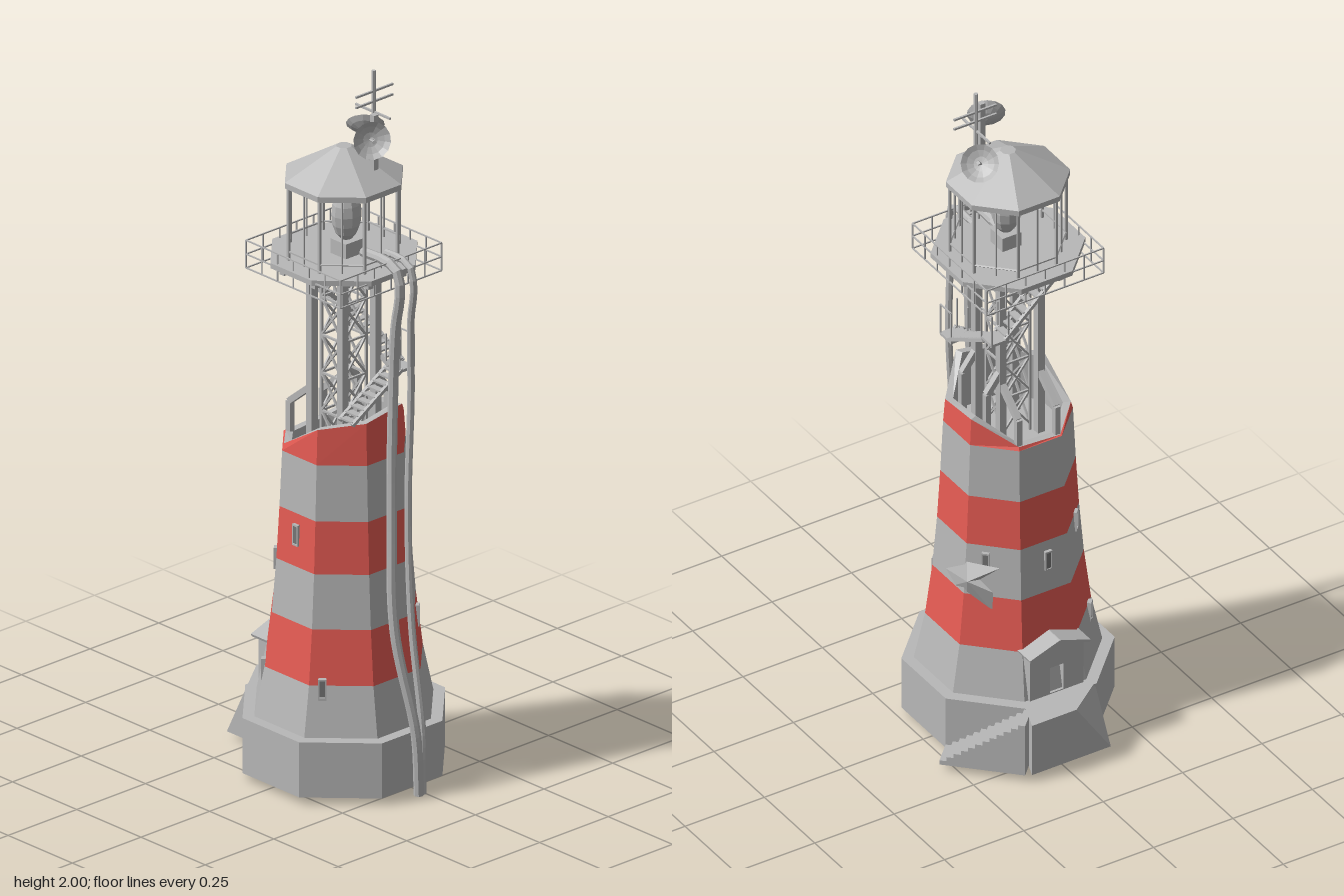
import * as THREE from 'three';
import { ConvexGeometry } from 'three/addons/geometries/ConvexGeometry.js';

const mat = (name, color) => new THREE.MeshStandardMaterial({ name, color, flatShading: true, side: THREE.DoubleSide });
const V = (x, y, z) => new THREE.Vector3(x, y, z);
const CX = -0.03, CZ = 0.02, OCT = Math.cos(Math.PI / 8);

export function createModel() {
  const gray = mat('weathered gray', 0xb8b8b8);
  const red = mat('faded red', 0xe85c54);
  const shade = mat('dark pane', 0x777777);
  const model = new THREE.Group();
  model.name = 'lighthouse';

  const add = (name, geo, m = gray, parent = model) => {
    const mesh = new THREE.Mesh(geo, m);
    mesh.name = name;
    parent.add(mesh);
    return mesh;
  };
  const box = (name, x, y, z, w, h, d, m = gray, parent = model) => {
    const b = add(name, new THREE.BoxGeometry(w, h, d), m, parent);
    b.position.set(x, y, z);
    return b;
  };
  // Square or round bar between two points
  const bar = (name, a, b, r, sides = 4) => {
    const d = b.clone().sub(a);
    const geo = new THREE.CylinderGeometry(r, r, d.length(), sides, 1);
    if (sides === 4) geo.rotateY(Math.PI / 4);
    const mesh = add(name, geo);
    mesh.position.copy(a).add(b).multiplyScalar(0.5);
    mesh.quaternion.setFromUnitVectors(V(0, 1, 0), d.normalize());
    return mesh;
  };
  // Octagonal frustum, sized by the distance to its flats
  const octagon = (name, y0, y1, h0, h1, m = gray, open = false) => {
    const geo = new THREE.CylinderGeometry(h1 / OCT, h0 / OCT, y1 - y0, 8, 1, open, Math.PI / 8);
    const mesh = add(name, geo, m);
    mesh.position.set(CX, (y0 + y1) / 2, CZ);
    return mesh;
  };
  const corner = (k, half, y) => {
    const t = Math.PI / 8 + k * Math.PI / 4;
    return V(CX + Math.sin(t) * half / OCT, y, CZ + Math.cos(t) * half / OCT);
  };

  // Foundation and the broken landing behind it
  octagon('foundation', 0.02, 0.18, 0.266, 0.266);
  add('backLanding', new ConvexGeometry([
    V(-0.03, 0.18, -0.32), V(0.11, 0.18, -0.32), V(0.08, 0.18, -0.24), V(-0.138, 0.18, -0.24),
    V(-0.138, 0.02, -0.32), V(0.11, 0.02, -0.32), V(0.08, 0.02, -0.24), V(-0.138, 0.02, -0.24)]));

  // Steps down from the landing
  for (let i = 0; i < 12; i++) {
    const t = (i + 0.5) / 12, h = 0.16 * (1 - i / 12);
    const step = box('entranceStep', 0.1 + 0.165 * t, 0.02 + h / 2, -0.285 + 0.165 * t, 0.0195, h, 0.075);
    step.rotation.y = -Math.PI / 4;
  }

  // Striped tower walls
  const levels = [[0.18, 0.235], [0.32, 0.207], [0.475, 0.189], [0.63, 0.177], [0.78, 0.169], [0.94, 0.162]];
  for (let i = 0; i < 5; i++) {
    const [y0, h0] = levels[i], [y1, h1] = levels[i + 1];
    octagon('towerBand', y0, y1, h0, h1, i % 2 ? red : gray, true);
  }
  // Ragged top band with an inner wall and rim
  const tops = [1.08, 1.01, 1.02, 0.95, 0.942, 0.96, 1.04, 1.06];
  const loft = (name, rings, m) => {
    const pos = [];
    for (let r = 0; r < rings.length - 1; r++) for (let k = 0; k < 8; k++) {
      const n = (k + 1) % 8, [a, b, c, d] = [rings[r][k], rings[r][n], rings[r + 1][n], rings[r + 1][k]];
      for (const p of [a, b, c, a, c, d]) pos.push(p.x, p.y, p.z);
    }
    const geo = new THREE.BufferGeometry();
    geo.setAttribute('position', new THREE.Float32BufferAttribute(pos, 3));
    geo.computeVertexNormals();
    add(name, geo, m);
  };
  const ring = (half, y) => tops.map((t, k) => corner(k, half, y ?? t));
  loft('raggedTopBand', [ring(0.162, 0.94), ring(0.157)], red);
  loft('innerWall', [ring(0.157), ring(0.137), ring(0.14, 0.9)], gray);
  octagon('innerFloor', 0.89, 0.9, 0.15, 0.15);

  // Windows: angle of the wall, shift along it, height
  const halfAt = y => {
    let i = 0;
    while (i < 4 && y > levels[i + 1][0]) i++;
    const [[y0, h0], [y1, h1]] = [levels[i], levels[i + 1]];
    return h0 + (h1 - h0) * (y - y0) / (y1 - y0);
  };
  const Q = Math.PI / 4;
  for (const [a, u, y] of [[Q, 0.02, 0.43], [-Q, -0.05, 0.31], [-3 * Q, 0.05, 0.3], [-3 * Q, 0.02, 0.61],
    [-2 * Q, 0, 0.72], [4 * Q, 0.01, 0.57], [3 * Q, -0.02, 0.58]]) {
    const g = new THREE.Group();
    g.name = 'window';
    g.position.set(CX, y, CZ);
    g.rotation.y = a;
    const h = halfAt(y);
    for (const s of [-1, 1]) {
      box('windowJamb', u + s * 0.009, 0, h, 0.004, 0.06, 0.014, gray, g);
      box('windowSill', u, s * 0.028, h, 0.02, 0.005, 0.014, gray, g);
    }
    box('windowPane', u, 0, h, 0.016, 0.052, 0.008, shade, g);
    model.add(g);
  }

  // Gabled porch over the back door
  const gable = new THREE.Shape([[-0.085, 0], [0.085, 0], [0.085, 0.14], [0, 0.17], [-0.085, 0.14]].map(p => new THREE.Vector2(...p)));
  gable.holes.push(new THREE.Path([[-0.022, 0.003], [-0.022, 0.085], [0.022, 0.085], [0.022, 0.003]].map(p => new THREE.Vector2(...p))));
  add('porchWall', new THREE.ExtrudeGeometry(gable, { depth: 0.07, bevelEnabled: false })).position.set(CX, 0.18, -0.222);
  for (const s of [-1, 1]) {
    const roof = box('porchRoof', CX + s * 0.047, 0.338, -0.2, 0.1, 0.008, 0.08);
    roof.rotation.z = -s * 0.34;
  }

  // Torn wall panel
  const hub = V(0.165, 0.53, -0.085);
  const rag = [V(0.157, 0.5, 0.035), V(0.15, 0.575, -0.06), V(0.1, 0.585, -0.145), V(0.135, 0.535, -0.1),
    V(0.115, 0.505, -0.135), V(0.105, 0.43, -0.115), V(0.145, 0.45, -0.05), V(0.16, 0.48, -0.02)];
  const torn = new THREE.BufferGeometry().setFromPoints(rag.flatMap((p, i) => [hub, rag[(i + 1) % rag.length], p]));
  torn.computeVertexNormals();
  add('tornPanel', torn);

  // Steel core: outer columns and inner lattice
  const square = [[1, 1], [1, -1], [-1, -1], [-1, 1]];
  square.forEach(([sx, sz], i) => {
    const [nx, nz] = square[(i + 1) % 4];
    box('column', CX + sx * 0.06, 1.19, CZ + sz * 0.06, 0.022, 0.58, 0.022);
    const at = (x, y, z) => V(CX + x * 0.042, y, CZ + z * 0.042);
    bar('latticeLeg', at(sx, 0.9, sz), at(sx, 1.48, sz), 0.005);
    for (let j = 0; j < 5; j++) {
      const y0 = 0.92 + j * 0.11, y1 = y0 + 0.11;
      bar('latticeBrace', at(sx, y0, sz), at(nx, y1, nz), 0.004);
      bar('latticeBrace', at(nx, y0, nz), at(sx, y1, sz), 0.004);
      bar('latticeRung', at(sx, y1, sz), at(nx, y1, nz), 0.004);
    }
  });
  // Bent struts tying the columns to the wall
  for (const s of [-1, 1]) {
    for (const [a, b, c] of [
      [V(CX + s * 0.06, 0.92, -0.125), V(CX + s * 0.06, 1.03, -0.125), V(CX + s * 0.06, 1.1, -0.04)],
      [V(0.075, 0.92, CZ + s * 0.06), V(0.075, 1.08, CZ + s * 0.06), V(0.03, 1.14, CZ + s * 0.06)]]) {
      bar('strutPost', a, b, 0.012);
      bar('strutArm', b, c, 0.012);
    }
  }

  // Stair flights winding round the core
  const flight = (a, b) => {
    const n = 9, d = b.clone().sub(a), alongX = Math.abs(d.x) > Math.abs(d.z);
    for (let i = 0; i < n; i++) {
      const p = a.clone().addScaledVector(d, (i + 0.5) / n);
      box('stairTread', p.x, p.y, p.z, alongX ? 0.02 : 0.048, 0.005, alongX ? 0.048 : 0.02);
    }
    for (const s of [-1, 1]) {
      const o = alongX ? V(0, 0, s * 0.025) : V(s * 0.025, 0, 0);
      bar('stairStringer', a.clone().add(o), b.clone().add(o), 0.007);
    }
  };
  flight(V(-0.13, 1.06, 0.135), V(0.05, 1.17, 0.135));
  flight(V(0.067, 1.17, 0.12), V(0.067, 1.27, -0.05));
  flight(V(0.05, 1.28, -0.068), V(-0.125, 1.44, -0.068));
  for (const [x, y, z] of [[0.067, 1.165, 0.135], [0.067, 1.275, -0.068]]) {
    box('stairLanding', x, y, z, 0.055, 0.008, 0.055);
    for (const [sx, sz] of square) bar('landingPost', V(x + sx * 0.026, y, z + sz * 0.026), V(x + sx * 0.026, y + 0.095, z + sz * 0.026), 0.0025);
    bar('landingRail', V(x + 0.026, y + 0.095, z - 0.026), V(x + 0.026, y + 0.095, z + 0.026), 0.0025);
  }

  // Gallery deck with its square safety frame
  octagon('galleryDeck', 1.475, 1.49, 0.193, 0.193);
  for (const s of [-1, 1]) {
    box('deckBeam', CX + s * 0.06, 1.465, CZ, 0.018, 0.022, 0.34);
    box('deckBeam', CX, 1.465, CZ + s * 0.06, 0.34, 0.022, 0.018);
  }
  square.forEach(([sx, sz], i) => {
    const [nx, nz] = square[(i + 1) % 4], R = 0.184;
    const at = (t, y) => V(CX + R * (sx + (nx - sx) * t), y, CZ + R * (sz + (nz - sz) * t));
    for (const y of [1.44, 1.48, 1.52]) bar('galleryRail', at(0, y), at(1, y), 0.0025);
    for (let j = 0; j < 6; j++) bar('galleryPost', at(j / 6, 1.44), at(j / 6, 1.52), 0.0025);
  });

  // Lantern room
  for (let k = 0; k < 8; k++) {
    const a = corner(k, 0.145, 1.49), b = corner(k + 1, 0.145, 1.49), m = a.clone().lerp(b, 0.5);
    for (const [p, r] of [[a, 0.005], [m, 0.003]]) bar('lanternPost', p, p.clone().setY(1.705), r);
    bar('lanternSill', a.clone().setY(1.515), b.clone().setY(1.515), 0.003);
  }
  octagon('roofEave', 1.7, 1.716, 0.155, 0.155);
  octagon('roof', 1.716, 1.8, 0.155, 0.02);
  box('lampPedestal', CX, 1.51, 0.03, 0.06, 0.045, 0.06);
  const lens = add('lampLens', new THREE.SphereGeometry(1, 10, 8));
  lens.scale.set(0.042, 0.076, 0.04);
  lens.position.set(CX, 1.605, 0.03);

  // Masts and aerial
  bar('aerialMast', V(0.055, 1.73, 0.045), V(0.055, 2, 0.045), 0.006, 6);
  for (const y of [1.94, 1.91]) bar('aerialElement', V(-0.01, y, 0.045), V(0.125, y, 0.045), 0.004);
  bar('aerialBoom', V(0.055, 1.88, -0.025), V(0.055, 1.88, 0.11), 0.004);
  box('dishMast', -0.003, 1.825, 0.11, 0.016, 0.17, 0.016);

  // Satellite dishes
  const dish = (p, n) => {
    const g = new THREE.Group();
    g.name = 'dish';
    const bowl = [[0, -0.02], [0.02, -0.017], [0.038, -0.009], [0.052, 0.002]].map(q => new THREE.Vector2(...q));
    add('dishBowl', new THREE.LatheGeometry(bowl, 14), gray, g);
    add('dishFeed', new THREE.CylinderGeometry(0.003, 0.003, 0.04, 6), gray, g);
    box('dishReceiver', 0, 0.022, 0, 0.009, 0.009, 0.009, gray, g);
    g.position.copy(p);
    g.quaternion.setFromUnitVectors(V(0, 1, 0), n.normalize());
    model.add(g);
  };
  dish(V(-0.033, 1.85, 0.133), V(-0.45, 0.25, 0.85));
  bar('dishArm', V(-0.003, 1.85, 0.11), V(-0.025, 1.845, 0.12), 0.006);
  dish(V(0.08, 1.817, -0.014), V(0.55, 0.62, -0.55));
  bar('dishArm', V(0.055, 1.78, 0.045), V(0.074, 1.81, -0.006), 0.006);

  // Pipes running down the front
  const pipe = (pts, r) => add('pipe', new THREE.TubeGeometry(new THREE.CatmullRomCurve3(pts.map(p => V(...p))), 48, r, 8));
  pipe([[-0.02, 0, 0.302], [-0.03, 0.18, 0.3], [-0.06, 0.47, 0.25], [-0.045, 0.8, 0.222], [-0.03, 1.15, 0.212],
    [-0.03, 1.34, 0.222], [-0.035, 1.44, 0.244], [-0.035, 1.5, 0.235], [-0.035, 1.518, 0.2], [-0.035, 1.518, 0.1]], 0.014);
  pipe([[-0.006, 0, 0.302], [-0.004, 0.18, 0.298], [0.002, 0.47, 0.25], [0.015, 0.8, 0.222], [0.035, 1.12, 0.212],
    [0.025, 1.34, 0.222], [0.015, 1.44, 0.244], [0.012, 1.5, 0.235], [0.012, 1.515, 0.2], [0.012, 1.515, 0.14]], 0.01);

  return model;
}
